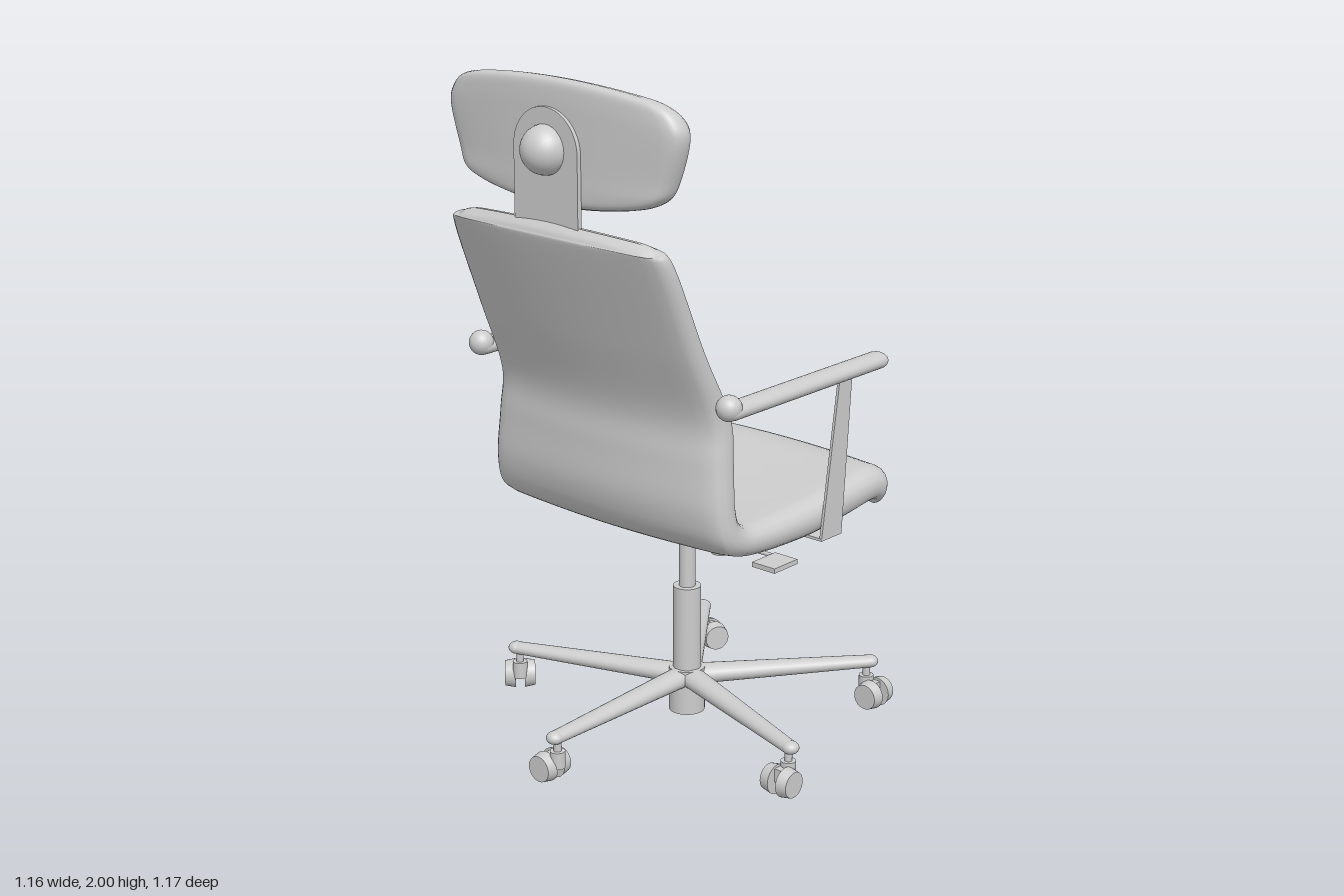
import * as THREE from 'three';

const CX = 0.05, CZ = 0.013; // column axis; CZ is also the mirror plane of the chair

// Smooth cushion swept down a side profile.
// Row: front x,y, rear x,y, half width, then x,y shift reached at the side edges.
function cushion(rows, edge) {
  const spline = (pick) => new THREE.CatmullRomCurve3(
    rows.map((r) => new THREE.Vector3(...pick(r))), false, 'catmullrom', 0.5);
  const front = spline((r) => [r[0], r[1], r[4]]);
  const rear = spline((r) => [r[2], r[3], 0]);
  const shift = spline((r) => [r[5], r[6], 0]);

  // Ring as [inset-relative z, edge-relative z, depth], front face first
  const ring = [];
  const across = 16, round = 8;
  for (const side of [1, -1]) {
    for (let i = 0; i < across; i++) ring.push([side * (-1 + (2 * i) / across), 0, side]);
    for (let i = 0; i < round; i++) {
      const a = Math.PI / 2 - (i / round) * Math.PI;
      const n = Math.sin(a), power = side * n < 0 ? 0.6 : 1;
      ring.push([side, side * Math.pow(Math.cos(a), power), side * n]);
    }
  }

  const steps = (rows.length - 1) * 6, count = ring.length;
  const pos = [], index = [];
  for (let s = 0; s <= steps; s++) {
    const f = front.getPoint(s / steps), b = rear.getPoint(s / steps), d = shift.getPoint(s / steps);
    const w = f.z;
    for (const [flat, cap, n] of ring) {
      const z = flat * (w - edge) + cap * edge, u = (z / w) ** 2, k = (n + 1) / 2;
      pos.push(b.x + (f.x - b.x) * k + d.x * u, b.y + (f.y - b.y) * k + d.y * u, z + CZ);
    }
  }
  for (let s = 0; s < steps; s++) {
    for (let k = 0; k < count; k++) {
      const k2 = (k + 1) % count;
      const a = s * count + k, b = s * count + k2, c = b + count, d = a + count;
      index.push(a, b, c, a, c, d);
    }
  }
  const geo = new THREE.BufferGeometry();
  geo.setAttribute('position', new THREE.Float32BufferAttribute(pos, 3));
  geo.setIndex(index);
  geo.computeVertexNormals();
  return geo;
}

export function createModel() {
  const chair = new THREE.Group();
  chair.name = 'officeChair';
  const grey = new THREE.MeshStandardMaterial({ color: 0xcccccc, side: THREE.DoubleSide });
  grey.name = 'lightGrey';

  const add = (name, geo, x = 0, y = 0, z = 0, parent = chair) => {
    const m = new THREE.Mesh(geo, grey);
    m.name = name;
    m.position.set(x, y, z);
    parent.add(m);
    return m;
  };
  const tube = (rTop, rBottom, h, sides = 32) => new THREE.CylinderGeometry(rTop, rBottom, h, sides);
  const box = (x, y, z) => new THREE.BoxGeometry(x, y, z);

  // Back and seat in one shell
  add('seatShell', cushion([
    [-0.515, 1.62, -0.515, 1.62, 0.30, 0.03, -0.015],
    [-0.48, 1.608, -0.535, 1.593, 0.355, 0.03, -0.015],
    [-0.455, 1.55, -0.528, 1.55, 0.39, 0.035, 0],
    [-0.355, 1.3, -0.435, 1.3, 0.4, 0.045, 0],
    [-0.265, 1.1, -0.36, 1.1, 0.41, 0.055, 0],
    [-0.255, 0.97, -0.355, 0.97, 0.42, 0.05, 0],
    [-0.25, 0.85, -0.35, 0.83, 0.43, 0.04, 0],
    [-0.215, 0.785, -0.3, 0.725, 0.437, 0.02, 0.01],
    [-0.13, 0.765, -0.18, 0.68, 0.442, 0, 0.01],
    [0.05, 0.775, 0.05, 0.672, 0.455, 0, 0.01],
    [0.22, 0.795, 0.22, 0.69, 0.463, 0, 0.01],
    [0.36, 0.81, 0.35, 0.71, 0.465, -0.01, 0.005],
    [0.47, 0.785, 0.44, 0.695, 0.457, -0.06, 0.005],
    [0.54, 0.735, 0.5, 0.672, 0.43, -0.11, 0.01],
    [0.553, 0.695, 0.528, 0.667, 0.405, -0.12, 0.015],
    [0.54, 0.668, 0.54, 0.668, 0.39, -0.12, 0.015],
  ], 0.06));

  // Headrest with its bracket and pivot dome
  add('headrest', cushion([
    [-0.48, 2.0, -0.48, 2.0, 0.28, 0.02, -0.02],
    [-0.45, 1.99, -0.5, 1.99, 0.36, 0.03, -0.03],
    [-0.425, 1.95, -0.505, 1.95, 0.405, 0.035, -0.03],
    [-0.42, 1.88, -0.505, 1.88, 0.415, 0.035, -0.01],
    [-0.42, 1.77, -0.505, 1.77, 0.385, 0.035, 0],
    [-0.425, 1.7, -0.505, 1.7, 0.36, 0.03, 0.02],
    [-0.445, 1.665, -0.5, 1.668, 0.31, 0.03, 0.025],
    [-0.475, 1.655, -0.475, 1.655, 0.24, 0.02, 0.02],
  ], 0.05));
  const plate = new THREE.Shape();
  plate.moveTo(-0.115, 1.54);
  plate.lineTo(0.115, 1.54);
  plate.lineTo(0.115, 1.81);
  plate.absarc(0, 1.81, 0.115, 0, Math.PI, false);
  const bracket = add('headrestBracket',
    new THREE.ExtrudeGeometry(plate, { depth: 0.014, bevelEnabled: false, curveSegments: 20 }), -0.515, 0, CZ);
  bracket.rotation.y = Math.PI / 2;
  const dome = add('headrestDome',
    new THREE.SphereGeometry(0.068, 28, 12, 0, Math.PI * 2, 0, Math.PI / 2), -0.513, 1.812, CZ);
  dome.rotation.z = Math.PI / 2;

  // Armrests, with a tapered upright bent under the seat
  for (const side of [1, -1]) {
    const arm = new THREE.Group();
    arm.name = side > 0 ? 'leftArmrest' : 'rightArmrest';
    arm.position.z = CZ + side * 0.461;
    chair.add(arm);
    const pad = add('armPad', new THREE.CapsuleGeometry(0.036, 0.625, 10, 24), 0.007, 1.144, 0, arm);
    pad.rotation.z = Math.PI / 2;
    pad.scale.x = 0.67;
    add('armPadEnd', new THREE.SphereGeometry(0.036, 24, 16), -0.312, 1.155, 0, arm);
    const upright = new THREE.Shape([[0.085, 0.67], [0.175, 0.67], [0.21, 1.13], [0.155, 1.13]]
      .map((p) => new THREE.Vector2(...p)));
    add('armUpright', new THREE.ExtrudeGeometry(upright, { depth: 0.008, bevelEnabled: false }), 0, 0, -0.004, arm);
    add('armFoot', box(0.09, 0.008, 0.18), 0.13, 0.674, -side * 0.087, arm);
  }

  // Tilt mechanism
  add('mountPlate', box(0.27, 0.012, 0.22), 0.08, 0.668, CZ);
  const housing = add('mechanismHousing', tube(0.15, 0.075, 0.055, 4).rotateY(Math.PI / 4), 0.08, 0.64, CZ);
  housing.scale.z = 0.65;
  add('columnCollar', tube(0.055, 0.035, 0.04), CX, 0.6, CZ);
  const lever = add('heightLever', tube(0.006, 0.006, 0.45, 10), -0.02, 0.637, 0.18);
  lever.rotation.x = Math.PI / 2;
  add('leverPaddle', box(0.1, 0.014, 0.08), -0.06, 0.637, 0.43);
  add('tiltLever', box(0.12, 0.008, 0.04), 0.21, 0.673, -0.06);
  const knob = new THREE.Group();
  knob.name = 'tensionKnob';
  knob.position.set(0.2, 0.565, CZ);
  knob.rotation.z = 0.17;
  chair.add(knob);
  add('knobGrip', tube(0.044, 0.04, 0.085), 0, -0.03, 0, knob);
  add('knobCore', tube(0.034, 0.034, 0.08), 0, 0.05, 0, knob);
  for (let i = 0; i < 4; i++) {
    const rib = add('knobRib', new THREE.TorusGeometry(0.036, 0.007, 8, 28), 0, 0.025 + i * 0.016, 0, knob);
    rib.rotation.x = Math.PI / 2;
  }

  // Gas column
  add('innerColumn', tube(0.024, 0.024, 0.2), CX, 0.52, CZ);
  add('outerColumn', tube(0.041, 0.041, 0.26), CX, 0.3, CZ);
  add('baseHub', tube(0.053, 0.053, 0.135), CX, 0.108, CZ);

  // Five legs, each with a swivelled twin-wheel caster
  const swivel = [-90, 180, 90, 25, -45];
  [180, 108, 36, -36, -108].forEach((deg, i) => {
    const leg = new THREE.Group();
    leg.name = 'baseLeg' + (i + 1);
    leg.position.set(CX, 0, CZ);
    leg.rotation.y = -THREE.MathUtils.degToRad(deg);
    chair.add(leg);
    const beam = add('legBeam', tube(0.024, 0.04, 0.56, 24), 0.28, 0.143, 0, leg);
    beam.rotation.z = -Math.PI / 2 - 0.02;
    beam.scale.x = 0.75;
    const tip = add('legTip', new THREE.SphereGeometry(0.025, 20, 14), 0.56, 0.138, 0, leg);
    tip.scale.y = 0.75;

    const a = THREE.MathUtils.degToRad(deg), caster = new THREE.Group();
    caster.name = 'caster' + (i + 1);
    caster.position.set(CX + 0.55 * Math.cos(a), 0, CZ + 0.55 * Math.sin(a));
    caster.rotation.y = -THREE.MathUtils.degToRad(swivel[i]);
    chair.add(caster);
    add('casterStem', tube(0.011, 0.011, 0.08, 16), 0, 0.1, 0, caster);
    add('casterSocket', tube(0.022, 0.022, 0.05, 20), 0, 0.07, 0, caster);
    add('casterBody', box(0.045, 0.035, 0.03), 0.02, 0.062, 0, caster);
    const axle = add('casterAxle', tube(0.012, 0.012, 0.08, 16), 0.03, 0.044, 0, caster);
    axle.rotation.x = Math.PI / 2;
    for (const side of [1, -1]) {
      const wheel = add('casterWheel', tube(0.038, 0.044, 0.032, 28), 0.03, 0.044, side * 0.03, caster);
      wheel.rotation.x = side * Math.PI / 2;
    }
  });

  return chair;
}
